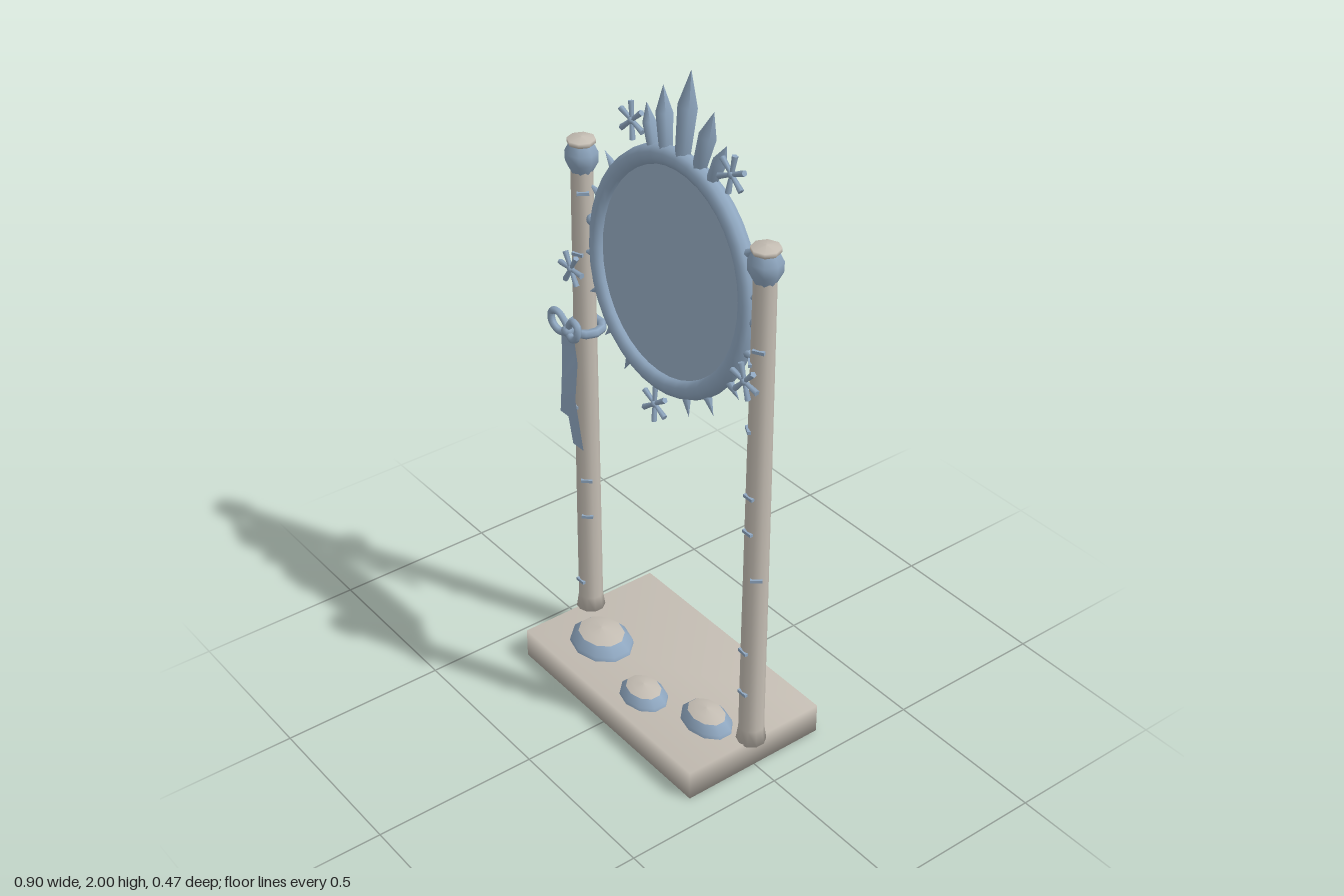
import * as THREE from 'three';
import { mergeVertices } from 'three/addons/utils/BufferGeometryUtils.js';

const mat = (name, color, side = THREE.FrontSide) => {
  const m = new THREE.MeshStandardMaterial({ color, side });
  m.name = name;
  return m;
};

const part = (parent, name, geometry, material, x = 0, y = 0, z = 0) => {
  const m = new THREE.Mesh(geometry, material);
  m.name = name;
  m.position.set(x, y, z);
  parent.add(m);
  return m;
};

const lathe = (points, sides) =>
  new THREE.LatheGeometry(points.map(([r, y]) => new THREE.Vector2(r, y)), sides);

// Shared corner normals give a soft, worn look
const soften = (g) => {
  g.deleteAttribute('normal');
  g.deleteAttribute('uv');
  const s = mergeVertices(g, 1e-4);
  s.computeVertexNormals();
  return s;
};

export function createModel() {
  const model = new THREE.Group();
  model.name = 'standingMirror';
  const stone = mat('warm grey stone', 0xc4bdb3);
  const frost = mat('frost blue', 0x8fa7c0);
  const glassMat = mat('mirror glass', 0x98adc4);
  const ribbonMat = mat('ribbon blue', 0x93abc5, THREE.DoubleSide);

  // Base slab
  part(model, 'base', soften(new THREE.BoxGeometry(0.8, 0.094, 0.47)), stone, 0.01, 0.047, 0);

  // Snow-topped rocks
  const rockSide = lathe([[1, 0], [0.96, 0.3], [0.72, 0.72]], 10);
  const rockTop = lathe([[0.72, 0.72], [0.42, 0.9], [0, 1]], 10);
  for (const [x, z, rx, rz, h] of [
    [-0.21, 0.085, 0.11, 0.09, 0.058], [0.065, 0.135, 0.085, 0.065, 0.048], [0.265, 0.06, 0.093, 0.066, 0.053],
  ]) {
    const rock = new THREE.Group();
    rock.name = 'rock';
    rock.position.set(x, 0.09, z);
    rock.scale.set(rx, h, rz);
    part(rock, 'rockSide', rockSide, frost);
    part(rock, 'rockSnow', rockTop, stone);
    model.add(rock);
  }

  // Posts with caps, each leaning very slightly
  const postShape = lathe([[0, 0], [0.044, 0], [0.037, 0.05], [0.036, 0.4], [0.034, 0.9], [0.031, 1.51]], 10);
  const capShape = lathe([[0.03, 0], [0.046, 0.03], [0.047, 0.06], [0.034, 0.085]], 8);
  const snowShape = lathe([[0.033, 0.08], [0.04, 0.087], [0.04, 0.098], [0, 0.104]], 8);
  const posts = [
    { name: 'rightPost', x: -0.378, lean: -0.003, top: 1.583,
      marks: [[0.2, 0], [0.45, 0.8], [0.58, 0.8], [0.83, -0.4], [1.34, 0.4], [1.53, 1]] },
    { name: 'leftPost', x: 0.395, lean: -0.004, top: 1.588,
      marks: [[0.275, 0], [0.42, -0.1], [0.68, 0.9], [0.83, 0], [0.945, 0], [1.15, -0.5], [1.35, -0.7], [1.4, 0.5]] },
  ];
  for (const p of posts) {
    const post = new THREE.Group();
    post.name = p.name;
    post.position.set(p.x, 0.09, 0.002);
    post.rotation.z = p.lean;
    part(post, 'postShaft', postShape, stone);
    part(post, 'postCap', capShape, frost, 0, p.top - 0.09, 0);
    part(post, 'capSnow', snowShape, stone, 0, p.top - 0.09, 0);
    // Small bark marks around the front
    for (const [y, a] of p.marks) {
      const r = 0.0365 - 0.003 * y;
      const mark = part(post, 'barkMark', new THREE.BoxGeometry(0.034, 0.009, 0.01), frost,
        Math.sin(a) * r, y - 0.09, Math.cos(a) * r);
      mark.rotation.y = a;
    }
    model.add(post);
  }

  // Tilted mirror
  const mirror = new THREE.Group();
  mirror.name = 'mirror';
  mirror.position.set(0.017, 1.44, 0);
  mirror.rotation.x = -0.115;
  model.add(mirror);
  part(mirror, 'mirrorFrame', new THREE.TorusGeometry(0.317, 0.028, 10, 40), frost);
  const glass = part(mirror, 'mirrorGlass', new THREE.CylinderGeometry(0.305, 0.305, 0.012, 40), glassMat);
  glass.rotation.x = Math.PI / 2;
  for (const s of [-1, 1])
    part(mirror, 'pivot', new THREE.SphereGeometry(0.018, 8, 6), frost, s * 0.35, 0.01, 0);

  // Places a geometry pointing outward from the frame
  const radial = (name, geometry, degrees, radius) => {
    const a = THREE.MathUtils.degToRad(degrees);
    const m = part(mirror, name, geometry, frost, Math.cos(a) * radius, Math.sin(a) * radius, 0);
    m.rotation.z = a - Math.PI / 2;
  };

  // Crown of crystals
  for (const [deg, tip, r] of [[90, 0.565, 0.028], [78, 0.5, 0.025], [102, 0.5, 0.025], [68.6, 0.452, 0.02], [111.4, 0.452, 0.02]]) {
    const h = tip - 0.32;
    radial('crystal', lathe([[0, 0], [r * 0.75, 0], [r, h * 0.6], [0, h]], 6), deg, 0.32);
  }

  // Icicle spikes round the rim
  for (const deg of [32, 13, -14, -35, -54, -70, -113, -130, -149, -166, 164, 145])
    radial('spike', new THREE.ConeGeometry(0.015, 0.06, 6), deg, 0.363);

  // Six-armed snowflakes
  const arm = new THREE.CylinderGeometry(0.009, 0.006, 0.05, 5);
  const snowflake = (parent, x, y, z, turn) => {
    const flake = new THREE.Group();
    flake.name = 'snowflake';
    flake.position.set(x, y, z);
    flake.rotation.z = turn;
    for (let i = 0; i < 6; i++) {
      const a = i * Math.PI / 3;
      const m = part(flake, 'snowflakeArm', arm, frost, -Math.sin(a) * 0.027, Math.cos(a) * 0.027, 0);
      m.rotation.z = a;
    }
    part(flake, 'snowflakeCentre', new THREE.SphereGeometry(0.011, 8, 6), frost);
    parent.add(flake);
  };
  snowflake(mirror, -0.207, 0.355, 0.01, 0.2);
  snowflake(mirror, 0.205, 0.362, 0.01, -0.1);
  snowflake(mirror, -0.012, -0.4, 0, 0.1);
  snowflake(model, -0.38, 1.29, 0.043, 0.5);
  snowflake(model, 0.378, 1.3, 0.043, 0.3);

  // Bow tied round one post
  const bow = new THREE.Group();
  bow.name = 'bow';
  bow.position.set(-0.38, 1.1, 0);
  model.add(bow);
  const band = part(bow, 'bowBand', new THREE.TorusGeometry(0.047, 0.014, 6, 10), frost, 0, -0.012, -0.005);
  band.rotation.x = Math.PI / 2;
  for (const s of [-1, 1]) {
    const loop = new THREE.CatmullRomCurve3([
      [0, 0, 0.062], [0.035, 0.046, 0.068], [0.062, 0.04, 0.072], [0.06, 0.008, 0.074], [0.03, -0.012, 0.07],
    ].map(([x, y, z]) => new THREE.Vector3(s * x, y, z)), true);
    part(bow, 'bowLoop', new THREE.TubeGeometry(loop, 20, 0.011, 6, true), frost, 0.005, 0, 0);
  }
  part(bow, 'bowKnot', new THREE.SphereGeometry(0.018, 8, 6), frost, 0.005, 0, 0.064);

  // Hanging ribbon tails, given as rows of left x, right x, y, z
  const tail = (rows) => {
    const pos = [], idx = [];
    rows.forEach(([l, r, y, z], i) => {
      pos.push(l, y, z, r, y, z);
      const k = i * 2;
      if (i) idx.push(k - 2, k, k - 1, k - 1, k, k + 1);
    });
    const g = new THREE.BufferGeometry();
    g.setAttribute('position', new THREE.Float32BufferAttribute(pos, 3));
    g.setIndex(idx);
    g.computeVertexNormals();
    part(model, 'ribbonTail', g, ribbonMat);
  };
  tail([[-0.41, -0.36, 1.09, 0.062], [-0.416, -0.35, 1.02, 0.056], [-0.405, -0.345, 0.92, 0.068], [-0.424, -0.357, 0.805, 0.062]]);
  tail([[-0.4, -0.35, 1.09, 0.06], [-0.405, -0.345, 1.0, 0.053], [-0.4, -0.345, 0.88, 0.064], [-0.373, -0.322, 0.715, 0.056]]);

  return model;
}
